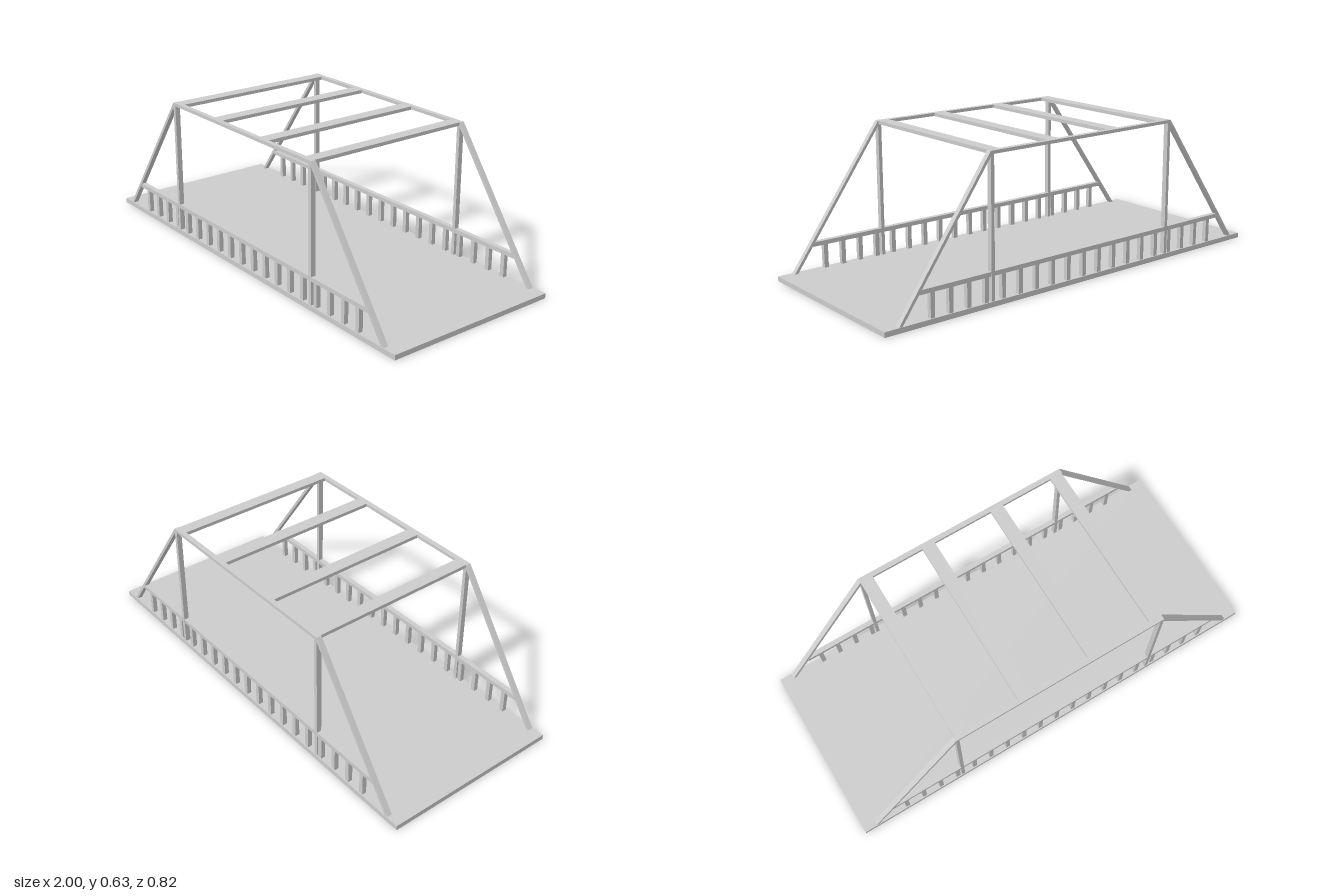
import * as THREE from 'three';

const material = new THREE.MeshStandardMaterial({ color: 0xcccccc, flatShading: true });

// Box given by its minimum and maximum on each axis
function block(parent, name, [x0, x1], [y0, y1], [z0, z1]) {
  const mesh = new THREE.Mesh(new THREE.BoxGeometry(x1 - x0, y1 - y0, z1 - z0), material);
  mesh.position.set((x0 + x1) / 2, (y0 + y1) / 2, (z0 + z1) / 2);
  mesh.name = name;
  parent.add(mesh);
}

// Sloping end member, cut level at both ends
function diagonal(parent, name, footX0, footX1, topX0, topX1, [z0, z1]) {
  const shape = new THREE.Shape([
    new THREE.Vector2(footX0, 0.003), new THREE.Vector2(footX1, 0.003),
    new THREE.Vector2(topX1, 0.632), new THREE.Vector2(topX0, 0.632),
  ]);
  const geometry = new THREE.ExtrudeGeometry(shape, { depth: z1 - z0, bevelEnabled: false });
  const mesh = new THREE.Mesh(geometry, material);
  mesh.position.z = z0;
  mesh.name = name;
  parent.add(mesh);
}

export function createModel() {
  const bridge = new THREE.Group();
  bridge.name = 'trussBridge';

  // Flat roadway
  block(bridge, 'deck', [-1, 1], [0, 0.022], [-0.412, 0.412]);

  // Two side trusses with railings
  for (const side of [1, -1]) {
    const truss = new THREE.Group();
    truss.name = side > 0 ? 'frontTruss' : 'backTruss';
    const span = (a, b) => (side > 0 ? [a, b] : [-b, -a]);
    const z = span(0.386, 0.409);

    block(truss, 'topChord', [-0.5, 0.494], [0.618, 0.632], z);
    block(truss, 'rightPost', [-0.503, -0.487], [0.003, 0.622], z);
    block(truss, 'leftPost', [0.481, 0.497], [0.003, 0.622], z);
    diagonal(truss, 'rightDiagonal', -0.956, -0.94, -0.503, -0.487, z);
    diagonal(truss, 'leftDiagonal', 0.932, 0.948, 0.481, 0.497, z);

    // Handrail on evenly spaced balusters
    block(truss, 'handrail', [-0.845, 0.84], [0.127, 0.146], span(0.385, 0.408));
    for (let i = 0; i < 19; i++) {
      const x = (i - 9) * 0.0866;
      block(truss, 'baluster', [x - 0.01, x + 0.01], [0.01, 0.13], span(0.387, 0.407));
    }
    bridge.add(truss);
  }

  // Flat overhead beams tying the trusses together
  for (const x of [[-0.5, -0.443], [-0.202, -0.142], [0.136, 0.196], [0.438, 0.494]]) {
    block(bridge, 'crossBeam', x, [0.617, 0.632], [-0.387, 0.387]);
  }
  return bridge;
}
